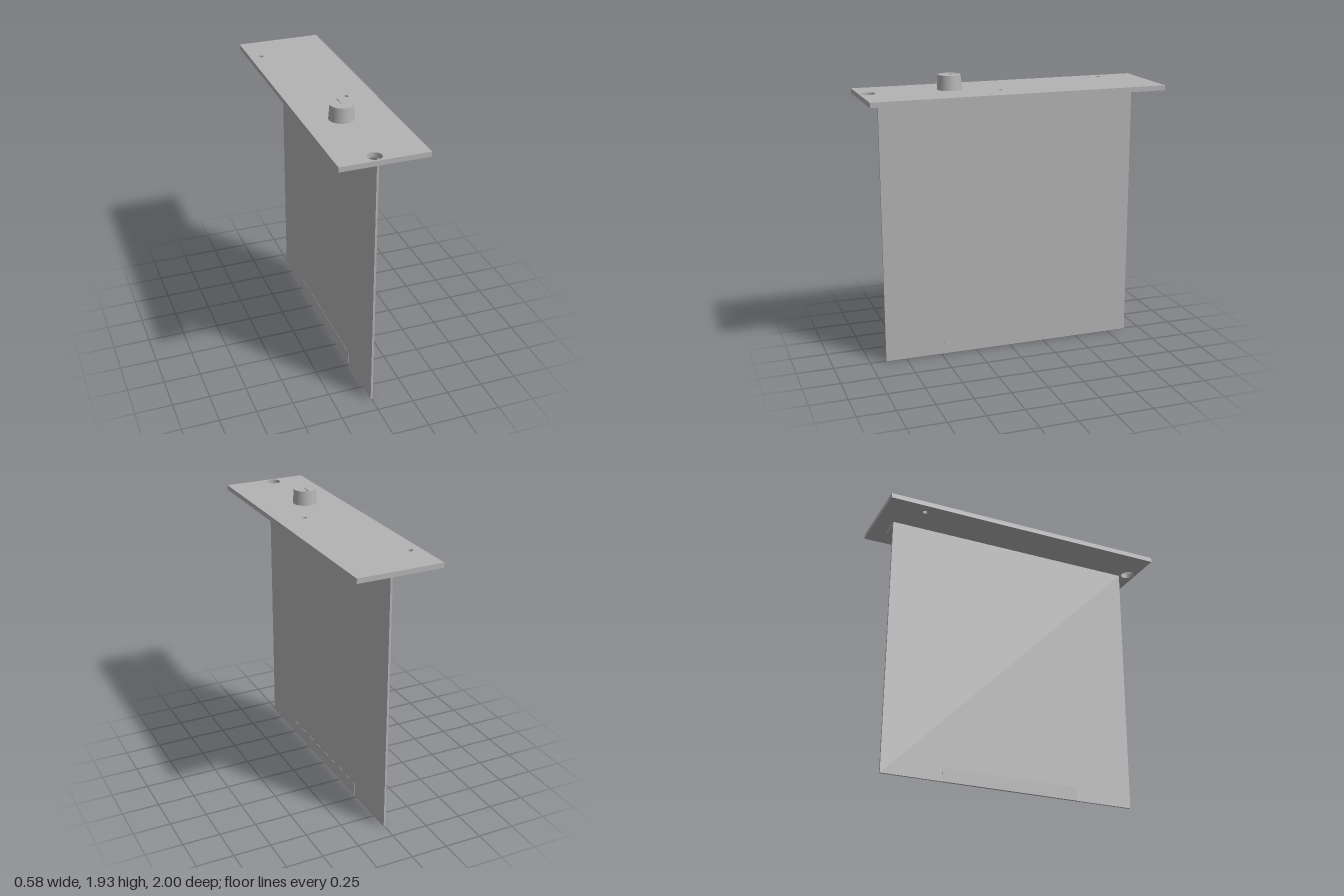
import * as THREE from 'three';

export function createModel() {
  const model = new THREE.Group();
  const grey = new THREE.MeshStandardMaterial({ color: 0xb3b3b3 });
  grey.name = 'plain grey';

  const add = (name, geometry, x = 0, y = 0, z = 0) => {
    const mesh = new THREE.Mesh(geometry, grey);
    mesh.name = name;
    mesh.position.set(x, y, z);
    model.add(mesh);
    return mesh;
  };
  // Box given by its minimum and maximum corners
  const addBox = (name, [x0, y0, z0], [x1, y1, z1]) =>
    add(name, new THREE.BoxGeometry(x1 - x0, y1 - y0, z1 - z0),
      (x0 + x1) / 2, (y0 + y1) / 2, (z0 + z1) / 2);

  // Front panel with drilled holes, drawn flat and laid down (shape y is -z)
  const w = 0.288, panelBottom = 1.8, panelTop = 1.833;
  const outline = new THREE.Shape([
    new THREE.Vector2(-w, -1), new THREE.Vector2(w, -1),
    new THREE.Vector2(w, 1), new THREE.Vector2(-w, 1),
  ]);
  const holes = [
    [-0.045, 0.94, 0.047], // jack hole
    [-0.213, -0.733, 0.018], // screw hole
    [0.1, 0.1, 0.016], // indicator hole, closed below by the bracket
  ];
  for (const [x, z, r] of holes) {
    outline.holes.push(new THREE.Path().absarc(x, -z, r, 0, Math.PI * 2, true));
  }
  const panel = new THREE.ExtrudeGeometry(outline, {
    depth: panelTop - panelBottom, bevelEnabled: false, curveSegments: 24,
  });
  panel.rotateX(-Math.PI / 2);
  add('panel', panel, 0, panelBottom, 0);

  // Upright circuit board and the flange that holds it under the panel
  addBox('board', [-0.0075, 0, -0.89], [0.0065, panelBottom, 0.89]);
  addBox('flange', [0.0065, 1.782, -0.89], [0.135, panelBottom, 0.89]);

  // Edge contacts, a hair thicker than the board
  addBox('edgeContacts', [-0.009, 0, -0.48], [0.008, 0.09, 0.48]);

  // Tapered knob with a raised pointer
  const knobX = -0.042, knobZ = 0.4, knobTop = 1.93;
  add('knob', new THREE.CylinderGeometry(0.074, 0.082, knobTop - panelTop, 48),
    knobX, (knobTop + panelTop) / 2, knobZ);
  addBox('knobPointer', [knobX - 0.006, knobTop - 0.002, knobZ - 0.07],
    [knobX + 0.006, knobTop + 0.005, knobZ]);

  return model;
}
